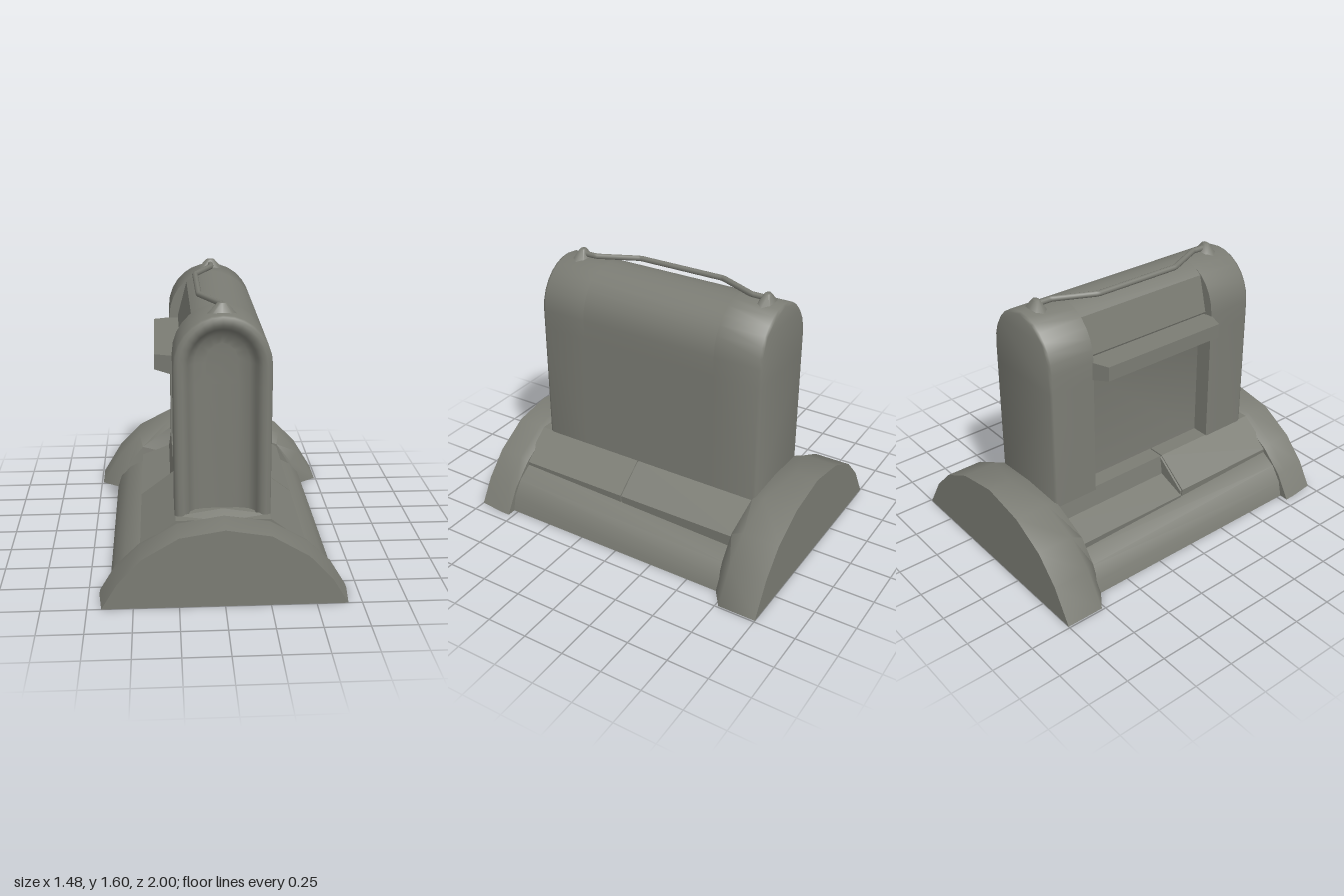
import * as THREE from 'three';
import { toCreasedNormals } from 'three/addons/utils/BufferGeometryUtils.js';

const metal = new THREE.MeshStandardMaterial({ color: 0x7b7c74 });
metal.name = 'dark grey metal';

// Mirrors a right-hand half outline (bottom to top centre) into a closed ring
function mirrorRing(half) {
  const left = half.filter(p => p[0] > 0).reverse().map(([x, y, z]) => [-x, y, z]);
  return [...half, ...left];
}

// Skins closed rings, ordered from back to front, and caps both ends
function loft(rings, crease = 0.6) {
  const n = rings[0].length;
  const index = [];
  for (let i = 0; i < rings.length - 1; i++) {
    for (let j = 0; j < n; j++) {
      const k = (j + 1) % n;
      const a = i * n + j, b = i * n + k, c = b + n, d = a + n;
      index.push(a, b, c, a, c, d);
    }
  }
  const cap = (ring, start, flip) => {
    const flat = ring.map(p => new THREE.Vector2(p[0], p[1]));
    for (const [a, b, c] of THREE.ShapeUtils.triangulateShape(flat, [])) {
      index.push(start + a, start + (flip ? c : b), start + (flip ? b : c));
    }
  };
  cap(rings[0], 0, true);
  cap(rings[rings.length - 1], (rings.length - 1) * n, false);
  const geometry = new THREE.BufferGeometry();
  geometry.setAttribute('position', new THREE.Float32BufferAttribute(rings.flat(2), 3));
  geometry.setIndex(index);
  return toCreasedNormals(geometry, crease);
}

// Arched tower outline of half width w and crown height top
function arch(w, top, z) {
  const spring = 1.27, half = [[w, 0.4, z], [w, 1.15, z]];
  for (let i = 0; i <= 7; i++) {
    const a = (i / 7) * Math.PI / 2;
    half.push([i === 7 ? 0 : w * Math.cos(a), spring + (top - spring) * Math.sin(a), z]);
  }
  return mirrorRing(half);
}

// Tower outline with its right flank cut back below the crown
function notchedArch(z) {
  return arch(0.267, 1.55, z).map(([x, y]) => {
    const limit = y > 1.2 ? -0.155 - (1.5 - y) * 0.26 : -0.16;
    return [Math.max(x, limit), y, z];
  });
}

export function createModel() {
  const model = new THREE.Group();
  const add = (name, geometry) => {
    const mesh = new THREE.Mesh(geometry, metal);
    mesh.name = name;
    model.add(mesh);
    return mesh;
  };

  // Rounded lower body, its shoulder dropping towards the back
  const bodyRing = (shoulder, z) => mirrorRing([
    [0.635, 0, z], [0.61, shoulder * 0.4, z], [0.55, shoulder * 0.75, z],
    [0.455, shoulder, z], [0, shoulder, z],
  ]);
  add('lowerBody', loft([bodyRing(0.19, -0.75), bodyRing(0.25, 0.8)]));

  // Sloping deck in two lengths with a narrow seam; the rear length is sunken on the right flank
  const deck = (z, inset = 0) => mirrorRing([
    [0.45 - inset, 0.16, z], [0.46 - inset, 0.27 - inset, z],
    [0.262, 0.42 - inset, z], [0, 0.42 - inset, z],
  ]);
  const sunkenDeck = z => [
    ...deck(z).slice(0, 4), [-0.262, 0.42, z], [-0.28, 0.3, z], [-0.46, 0.235, z], [-0.45, 0.16, z],
  ];
  add('rearDeck', loft([sunkenDeck(-0.75), sunkenDeck(0.068)]));
  add('deckSeam', loft([deck(0.064, 0.008), deck(0.08, 0.008)]));
  add('frontDeck', loft([deck(0.076), deck(0.8)]));

  // Rear end plate with a bevel towards the deck
  const rear = [[0.74, 0], [0.62, 0.2], [0.48, 0.345], [0.27, 0.455], [0, 0.505]];
  const rearRing = zs => mirrorRing(rear.map(([x, y], i) => [x, y, zs[i]]));
  add('rearPlate', loft([
    rearRing([-1, -1, -1, -1, -1]),
    rearRing([-0.77, -0.77, -0.775, -0.79, -0.86]),
    mirrorRing([[0.63, 0, -0.69], [0.56, 0.16, -0.69], [0.46, 0.29, -0.69],
      [0.26, 0.43, -0.715], [0, 0.45, -0.73]]),
  ], 0.95));

  // Front end plate, slightly flared towards the back
  const front = [[0.69, 0], [0.6, 0.15], [0.465, 0.295], [0.255, 0.42], [0, 0.462]];
  const frontRing = (s, z) => mirrorRing(front.map(([x, y]) => [x * s, y * s, z]));
  add('frontPlate', loft([
    mirrorRing([[0.69, 0, 0.78], [0.6, 0.15, 0.78], [0.465, 0.28, 0.78], [0.255, 0.4, 0.78], [0, 0.42, 0.78]]),
    frontRing(1, 0.835), frontRing(0.975, 1),
  ], 0.7));

  // Small ramp joining the tower to the front plate
  const rampRing = (top, z) => mirrorRing([[0.26, 0.38, z], [0.255, top - 0.04, z], [0, top, z]]);
  add('frontRamp', loft([rampRing(0.46, 0.735), rampRing(0.435, 0.785)]));

  // Arched tower: rear end, middle cut back on one flank, front end with a scooped pocket
  add('towerRear', loft([
    arch(0.255, 1.54, -0.73), arch(0.267, 1.55, -0.718), arch(0.267, 1.55, -0.44),
  ], 0.9));
  add('towerMiddle', loft([notchedArch(-0.44), notchedArch(0.44)]));
  add('towerFront', loft([
    arch(0.267, 1.55, 0.44), arch(0.267, 1.55, 0.72), arch(0.26, 1.543, 0.736), arch(0.24, 1.525, 0.745),
    arch(0.215, 1.5, 0.742), arch(0.19, 1.475, 0.72), arch(0.18, 1.46, 0.68),
    arch(0.15, 1.43, 0.65), arch(0.09, 1.38, 0.635),
  ], 0.9));

  // Faceted lugs that carry the top handle
  for (const side of [1, -1]) {
    const lug = new THREE.CylinderGeometry(0.025, 0.085, 0.065, 8);
    lug.scale(1, 1, 0.7);
    add(side > 0 ? 'frontHandleLug' : 'rearHandleLug', toCreasedNormals(lug, 0.9))
      .position.set(0, 1.563, side * 0.62);
  }

  // Cranked handle along the crown
  const path = new THREE.CurvePath();
  const bends = [[0, 0.6], [0, 0.52], [-0.11, 0.28], [-0.11, -0.28], [0, -0.52], [0, -0.6]]
    .map(([x, z]) => new THREE.Vector3(x, 1.567, z));
  for (let i = 0; i < bends.length - 1; i++) path.add(new THREE.LineCurve3(bends[i], bends[i + 1]));
  add('topHandle', new THREE.TubeGeometry(path, 60, 0.017, 8, false));

  // Rail bridging the cut flank, with pointed ends and a rising underside
  const plan = new THREE.Shape([[-0.365, -0.41], [-0.262, -0.45], [-0.16, -0.41],
    [-0.16, 0.41], [-0.262, 0.45], [-0.365, 0.41]].map(([x, z]) => new THREE.Vector2(x, z)));
  const rail = new THREE.ExtrudeGeometry(plan, { depth: 0.11, bevelEnabled: false });
  rail.rotateX(-Math.PI / 2).translate(0, 1.148, 0);
  const p = rail.attributes.position;
  for (let i = 0; i < p.count; i++) {
    if (p.getX(i) < -0.3 && p.getY(i) < 1.2) p.setY(i, 1.17);
  }
  rail.computeVertexNormals();
  add('sideRail', rail);

  return model;
}
